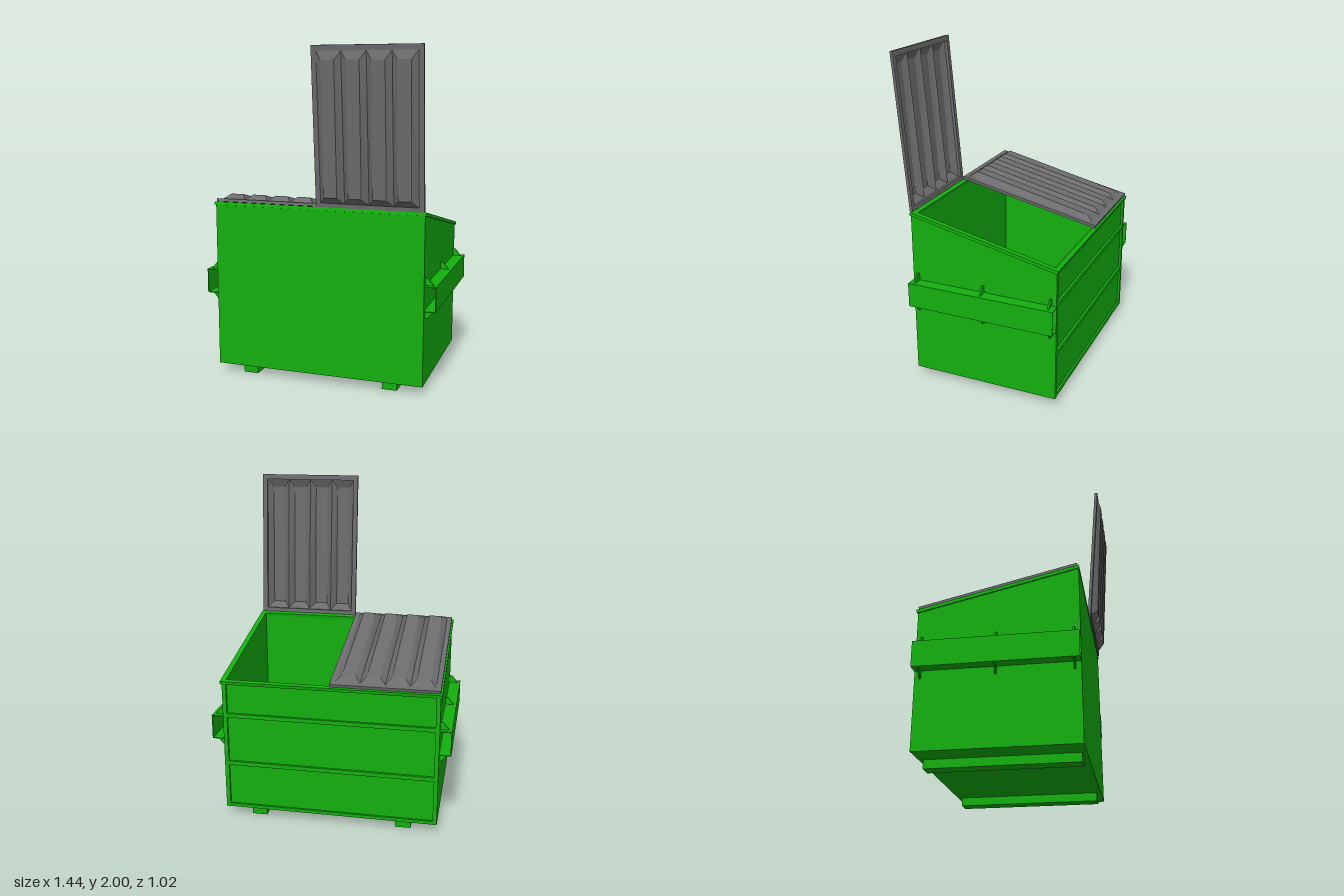
import * as THREE from 'three';

const green = new THREE.MeshStandardMaterial({ color: 0x13b00e, flatShading: true });
const grey = new THREE.MeshStandardMaterial({ color: 0x6c6c6e, flatShading: true, side: THREE.DoubleSide });

function add(parent, name, geometry, material = green) {
  const mesh = new THREE.Mesh(geometry, material);
  mesh.name = name;
  parent.add(mesh);
  return mesh;
}

// Box given by its minimum and maximum corners
function box(parent, name, [x0, y0, z0], [x1, y1, z1]) {
  const mesh = add(parent, name, new THREE.BoxGeometry(x1 - x0, y1 - y0, z1 - z0));
  mesh.position.set((x0 + x1) / 2, (y0 + y1) / 2, (z0 + z1) / 2);
  return mesh;
}

const polygon = (points) => new THREE.Shape(points.map(([x, y]) => new THREE.Vector2(x, y)));
const rect = (x0, y0, x1, y1) => polygon([[x0, y0], [x1, y0], [x1, y1], [x0, y1]]);
const extrude = (shape, depth) => new THREE.ExtrudeGeometry(shape, { depth, bevelEnabled: false });

// Flat rectangular frame, lying in x and -z, with its thickness upwards
function frameGeometry(outer, inner, thickness) {
  const shape = rect(...outer);
  shape.holes.push(rect(...inner));
  return extrude(shape, thickness).rotateX(-Math.PI / 2);
}

// Hollow tapered rib, open underneath; t runs away from the hinge
function ribGeometry(x0, x1) {
  const base = 0.018, inset = 0.034;
  const bottom = [[x0, base, -0.025], [x1, base, -0.025], [x1, base, -0.893], [x0, base, -0.893]];
  const top = [
    [x0 + inset, 0.055, -0.065], [x1 - inset, 0.055, -0.065],
    [x1 - inset, 0.041, -0.845], [x0 + inset, 0.041, -0.845],
  ];
  const quads = [top];
  for (let i = 0; i < 4; i++) {
    const j = (i + 1) % 4;
    quads.push([bottom[i], bottom[j], top[j], top[i]]);
  }
  const positions = quads.flatMap(([a, b, c, d]) => [a, b, c, a, c, d]).flat();
  const geometry = new THREE.BufferGeometry();
  geometry.setAttribute('position', new THREE.Float32BufferAttribute(positions, 3));
  geometry.computeVertexNormals();
  return geometry;
}

// Lid with four ribs, hinged along its local x axis
function createLid(name) {
  const lid = new THREE.Group();
  lid.name = name;
  add(lid, 'lidFrame', frameGeometry([0, 0, 0.645, 0.925], [0.03, 0.025, 0.615, 0.893], 0.018), grey);
  const width = 0.585 / 4;
  for (let i = 0; i < 4; i++) {
    add(lid, 'lidRib', ribGeometry(0.03 + i * width, 0.03 + (i + 1) * width), grey);
  }
  return lid;
}

export function createModel() {
  const model = new THREE.Group();
  model.name = 'dumpster';

  // Open container: floor, front and recessed back wall
  box(model, 'floor', [-0.645, 0.05, -0.498], [0.645, 0.07, 0.405]);
  box(model, 'frontWall', [-0.65, 0.05, 0.385], [0.65, 1.06, 0.41]);
  box(model, 'backWall', [-0.64, 0.05, -0.485], [0.64, 0.855, -0.46]);
  for (const y of [0.33, 0.64]) {
    box(model, 'backRib', [-0.64, y, -0.5], [0.64, y + 0.025, -0.48]);
  }

  // Sloping side walls
  const sideShape = polygon([[-0.5, 0.05], [0.41, 0.05], [0.41, 1.063], [-0.5, 0.86]]);
  for (const x of [0.65, -0.625]) {
    const wall = add(model, 'sideWall', extrude(sideShape, 0.025));
    wall.rotation.y = -Math.PI / 2;
    wall.position.x = x;
  }

  // Rim around the sloping opening
  const rim = add(model, 'rim', frameGeometry([-0.658, -0.472, 0.658, 0.472], [-0.625, -0.437, 0.625, 0.445], 0.02));
  rim.rotation.x = -Math.atan(0.2234);
  rim.position.set(0, 0.954, -0.045);

  // Lifting pockets with gussets, and the skids, on both sides
  for (const s of [1, -1]) {
    const side = new THREE.Group();
    side.name = s > 0 ? 'leftPocket' : 'rightPocket';
    model.add(side);
    const span = (a, b) => (s > 0 ? [a, b] : [-b, -a]);
    const [a, b] = span(0.645, 0.72);
    const [c, d] = span(0.715, 0.72);
    box(side, 'pocketTop', [a, 0.645, -0.503], [b, 0.65, 0.41]);
    box(side, 'pocketBottom', [a, 0.5, -0.503], [b, 0.505, 0.41]);
    box(side, 'pocketOuterPlate', [c, 0.5, -0.503], [d, 0.65, 0.41]);
    for (const z of [0.375, -0.05, -0.467]) {
      for (const [y, up] of [[0.649, 1], [0.501, -1]]) {
        const points = [[0.645, 0], [0.703, 0], [0.665, 0.046], [0.645, 0.046]];
        const gusset = extrude(polygon(points.map(([px, py]) => [s * px, y + up * py])), 0.01);
        add(side, 'gusset', gusset).position.z = z - 0.005;
      }
    }
    const [e, f] = span(0.4, 0.492);
    box(model, 'skid', [e, 0, -0.473], [f, 0.052, 0.385]);
  }

  // One lid closed, the other swung up
  const closedLid = createLid('closedLid');
  closedLid.position.set(-0.648, 1.077, 0.405);
  closedLid.rotation.x = -Math.atan(0.2234);
  const openLid = createLid('openLid');
  openLid.position.set(0.002, 1.078, 0.4);
  openLid.rotation.x = THREE.MathUtils.degToRad(94.8);
  model.add(closedLid, openLid);

  return model;
}
